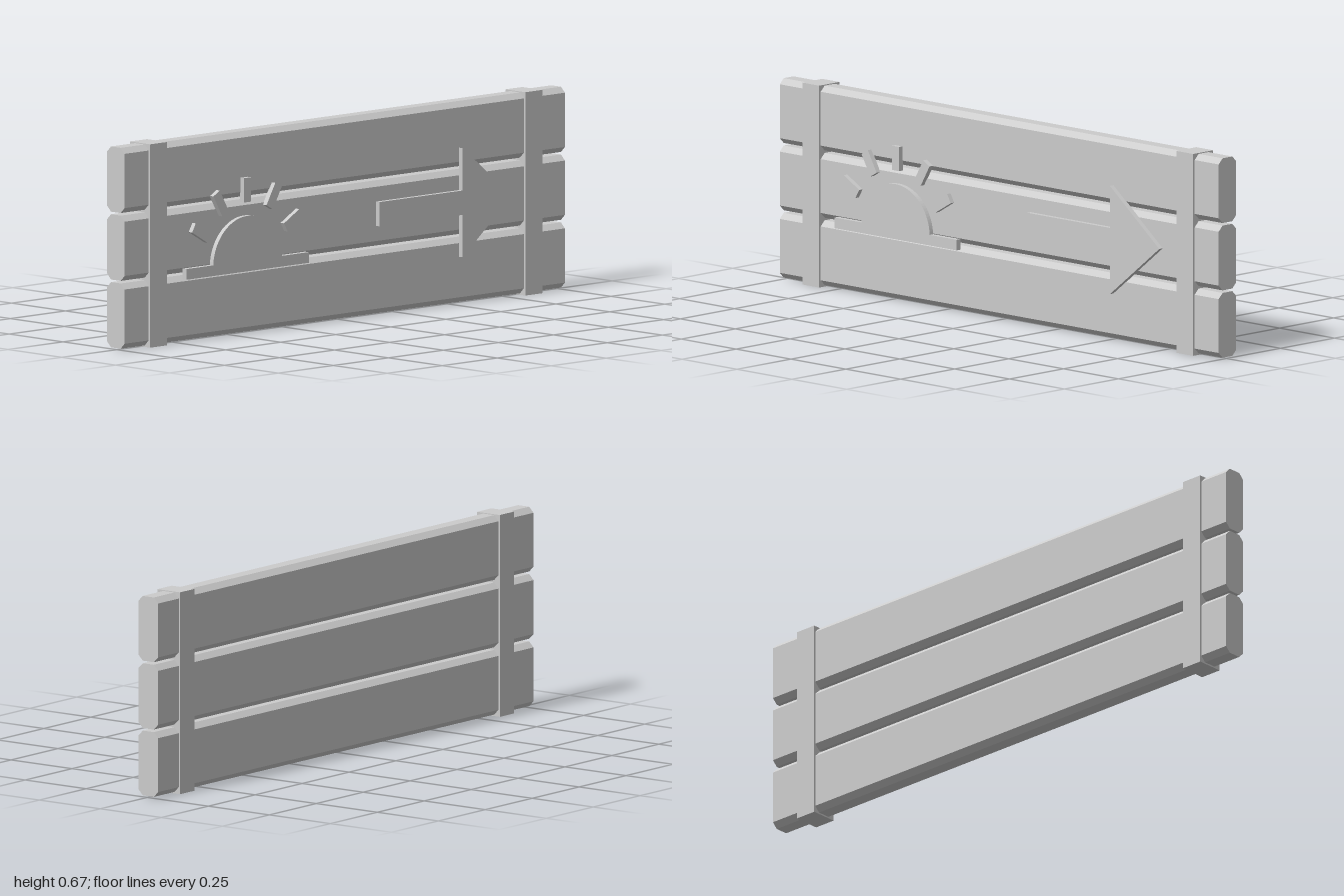
import * as THREE from 'three';

const material = new THREE.MeshStandardMaterial({ color: 0xcccccc, flatShading: true });

function addMesh(parent, name, geometry, x = 0, y = 0, z = 0) {
  const mesh = new THREE.Mesh(geometry, material);
  mesh.name = name;
  mesh.position.set(x, y, z);
  parent.add(mesh);
  return mesh;
}

const polygon = (points) => new THREE.Shape(points.map(([x, y]) => new THREE.Vector2(x, y)));
const extrude = (shape, depth) =>
  new THREE.ExtrudeGeometry(shape, { depth, bevelEnabled: false, curveSegments: 24 });

// Plank with chamfered long edges, running along x
function plankGeometry(length, height, thickness, chamfer) {
  const h = height / 2, t = thickness / 2, c = chamfer;
  const section = polygon([
    [-t + c, -h], [t - c, -h], [t, -h + c], [t, h - c],
    [t - c, h], [-t + c, h], [-t, h - c], [-t, -h + c],
  ]);
  return extrude(section, length).translate(0, 0, -length / 2).rotateY(Math.PI / 2);
}

export function createModel() {
  const sign = new THREE.Group();
  sign.name = 'woodenSign';

  // Three stacked planks
  const plank = plankGeometry(2, 0.214, 0.081, 0.018);
  for (let i = 0; i < 3; i++) {
    addMesh(sign, `plank${i + 1}`, plank, 0, 0.112 + i * 0.2225, -0.0045);
  }

  // Straps wrapped around the planks
  for (const side of [-1, 1]) {
    addMesh(sign, side > 0 ? 'leftStrap' : 'rightStrap',
      new THREE.BoxGeometry(0.077, 0.667, 0.093), side * 0.852, 0.3335, -0.0035);
  }

  // Raised emblems sit slightly sunk into the plank faces
  const reliefZ = 0.034, relief = 0.018;

  // Arrow
  addMesh(sign, 'arrow', extrude(polygon([
    [0.143, 0.295], [0.52, 0.295], [0.52, 0.156], [0.745, 0.335],
    [0.52, 0.514], [0.52, 0.375], [0.143, 0.375],
  ]), relief), 0, 0, reliefZ);

  // Rising sun on a horizon bar
  const sun = new THREE.Group();
  sun.name = 'sun';
  sun.position.set(-0.457, 0.234, reliefZ);
  sign.add(sun);

  const radius = 0.156, barTop = 0.009, barBottom = -0.026;
  const start = Math.asin(barTop / radius);
  const disc = new THREE.Shape();
  disc.moveTo(-0.278, barBottom);
  disc.lineTo(0.278, barBottom);
  disc.lineTo(0.278, barTop);
  disc.absarc(0, 0, radius, start, Math.PI - start, false);
  disc.lineTo(-0.278, barTop);
  disc.closePath();
  addMesh(sun, 'sunDisc', extrude(disc, relief));

  // Rays fanned around the disc
  for (let i = 1; i <= 5; i++) {
    const angle = (i * Math.PI) / 6;
    const ray = addMesh(sun, `sunRay${i}`, new THREE.BoxGeometry(0.08, 0.033, relief),
      0.241 * Math.cos(angle), 0.241 * Math.sin(angle), relief / 2);
    ray.rotation.z = angle;
  }

  return sign;
}
